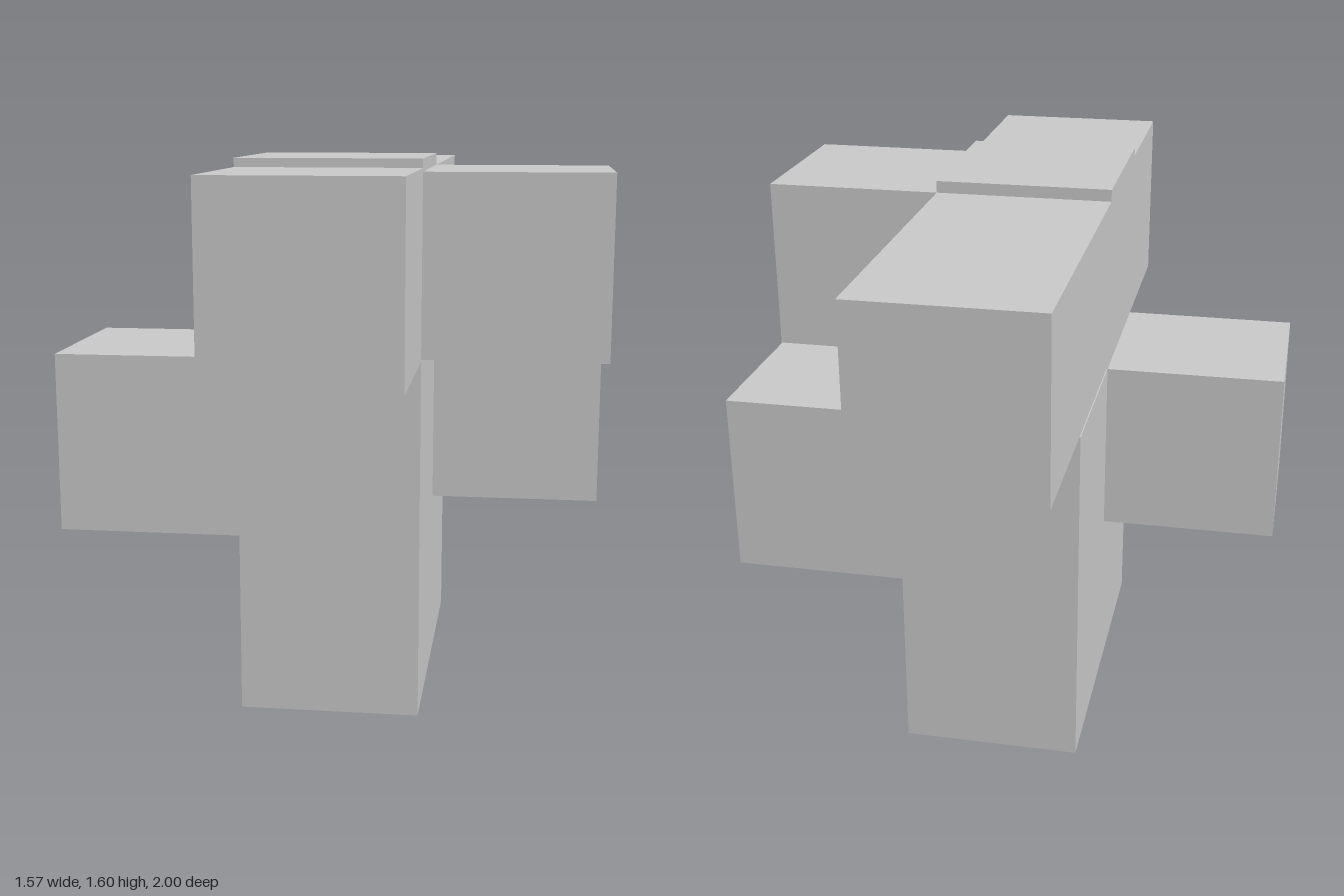
import * as THREE from 'three';

const material = new THREE.MeshStandardMaterial({ color: 0xcccccc, flatShading: true });

// Box given by its [min, max] range on each axis
function block(name, [x0, x1], [y0, y1], [z0, z1]) {
  const mesh = new THREE.Mesh(new THREE.BoxGeometry(x1 - x0, y1 - y0, z1 - z0), material);
  mesh.position.set((x0 + x1) / 2, (y0 + y1) / 2, (z0 + z1) / 2);
  mesh.name = name;
  return mesh;
}

export function createModel() {
  const model = new THREE.Group();
  model.name = 'blockSculpture';
  const left = 0.265, right = -0.255; // sides of the core
  const back = -0.03, front = 0.49;   // depth of the middle cell

  // Core: column, long upper beam and raised cap as one side profile (z, y)
  const profile = new THREE.Shape([
    [-0.54, 0], [front, 0], [front, 1.045], [1, 1.045], [1, 1.575], [front, 1.575],
    [front, 1.6], [back, 1.6], [back, 1.565], [-1, 1.565], [-1, 1.055],
    [back, 1.055], [back, 1.045], [-0.54, 1.045],
  ].map(([z, y]) => new THREE.Vector2(z, y)));
  const coreGeometry = new THREE.ExtrudeGeometry(profile, { depth: left - right, bevelEnabled: false });
  coreGeometry.rotateY(-Math.PI / 2).translate(left, 0, 0);
  const core = new THREE.Mesh(coreGeometry, material);
  core.name = 'columnAndBeam';
  model.add(core);

  // Side cubes
  model.add(
    block('upperLeftCube', [left, 0.782], [1.05, 1.565], [back, front]),
    block('lowerLeftCube', [left, 0.78], [0.525, 1.055], [-0.505, back]),
    block('rightCube', [-0.785, right], [0.525, 1.045], [back, front]),
  );
  return model;
}
